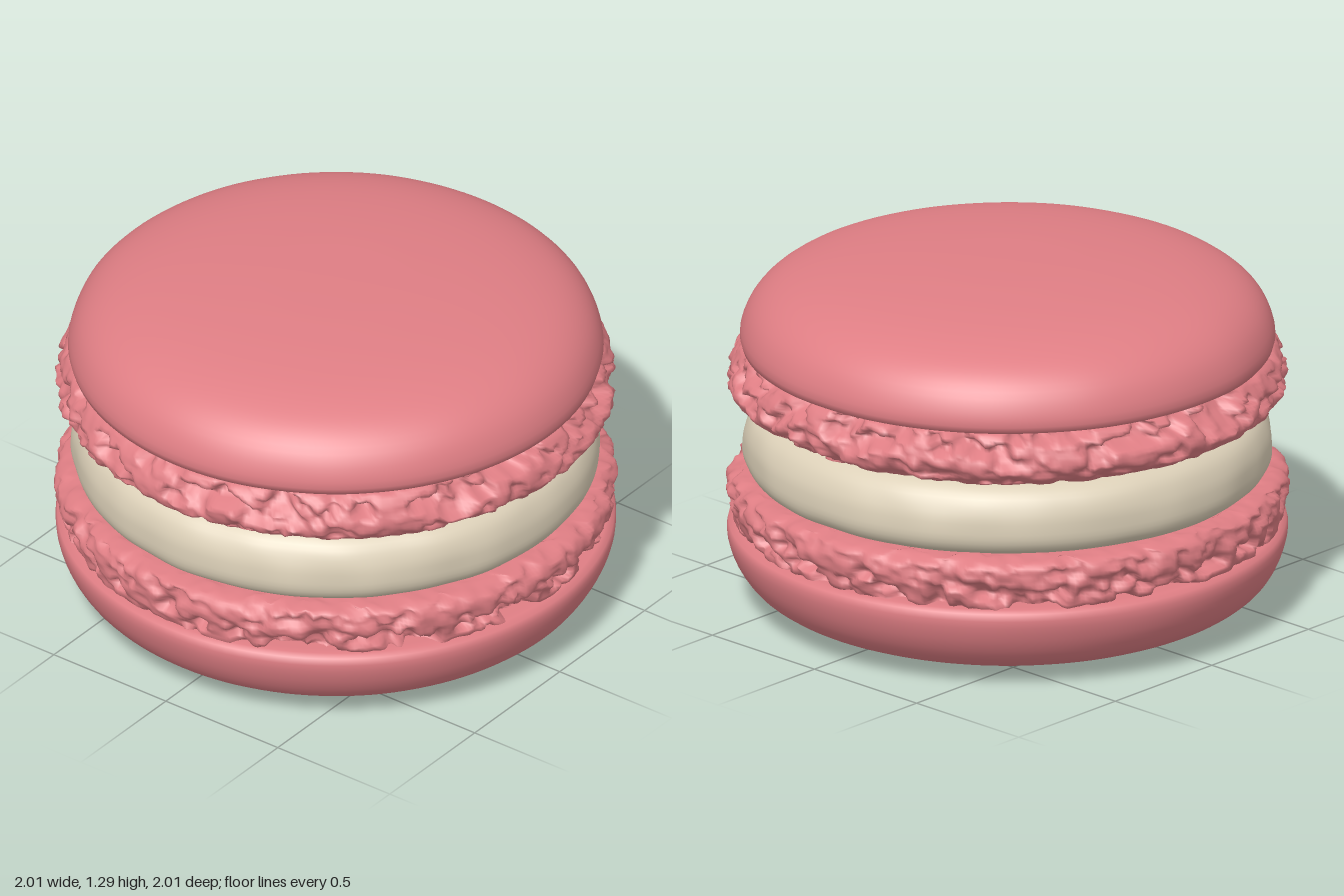
import * as THREE from 'three';
import { mergeVertices } from 'three/addons/utils/BufferGeometryUtils.js';

// seeded value noise in 3D, 0..1
function hash(x, y, z) {
  let h = Math.imul(x, 374761393) ^ Math.imul(y, 668265263) ^ Math.imul(z, 1440662683);
  h = Math.imul(h ^ (h >>> 13), 1274126177);
  return ((h ^ (h >>> 16)) >>> 0) / 4294967295;
}
function noise(x, y, z) {
  const X = Math.floor(x), Y = Math.floor(y), Z = Math.floor(z);
  const s = (t) => t * t * (3 - 2 * t);
  const u = s(x - X), v = s(y - Y), w = s(z - Z);
  const L = THREE.MathUtils.lerp;
  const row = (j, k) => L(hash(X, Y + j, Z + k), hash(X + 1, Y + j, Z + k), u);
  return L(L(row(0, 0), row(1, 0), v), L(row(0, 1), row(1, 1), v), w);
}

// revolve a smooth bottom-to-top profile, then move its vertices by a rule
function turned(name, material, profile, steps, segments, rule) {
  const curve = new THREE.SplineCurve(profile.map(([r, y]) => new THREE.Vector2(r, y)));
  const points = curve.getSpacedPoints(steps);
  points.forEach((p) => { p.x = Math.max(0, p.x); });
  let geometry = new THREE.LatheGeometry(points, segments);
  geometry.deleteAttribute('uv');
  geometry.deleteAttribute('normal');
  geometry = mergeVertices(geometry, 1e-5);
  const pos = geometry.attributes.position;
  for (let i = 0; i < pos.count; i++) {
    const x = pos.getX(i), y = pos.getY(i), z = pos.getZ(i);
    const r = Math.hypot(x, z);
    if (r < 0.01) continue;
    const [dr, dy] = rule(x, y, z, r);
    pos.setXYZ(i, x * (1 + dr / r), y + dy, z * (1 + dr / r));
  }
  geometry.computeVertexNormals();
  const mesh = new THREE.Mesh(geometry, material);
  mesh.name = name;
  return mesh;
}

export function createModel() {
  const pink = new THREE.MeshStandardMaterial({ color: 0xdf7e84 });
  pink.name = 'pink biscuit';
  const cream = new THREE.MeshStandardMaterial({ color: 0xdcd0b8 });
  cream.name = 'cream filling';

  // gentle unevenness of the smooth parts
  const soft = (amount, f) => (x, y, z) => [(noise(x * f + 9, y * f, z * f) - 0.5) * amount, 0];
  // pitted, bubbly rim; pits deepen towards the shell at height yShell
  const ruffled = (yShell) => (x, y, z, r) => {
    const edge = THREE.MathUtils.smoothstep(r, 0.78, 0.92);
    const n = noise(x * 15 + 40, y * 24, z * 15 + 40);
    const m = noise(x * 30, y * 44 + 7, z * 30);
    const near = 1 - THREE.MathUtils.smoothstep(Math.abs(y - yShell), 0.03, 0.13);
    const pit = THREE.MathUtils.smoothstep(n * 0.75 + m * 0.25, 0.42, 0.72);
    return [edge * (0.008 - pit * (0.025 + 0.045 * near) - (m - 0.5) * 0.016),
      edge * (m - 0.5) * 0.008];
  };

  const group = new THREE.Group();
  group.name = 'macaron';
  group.add(
    turned('bottomShell', pink, [
      [0, 0.004], [0.3, 0.005], [0.55, 0.01], [0.72, 0.025], [0.84, 0.06], [0.92, 0.11],
      [0.97, 0.18], [0.995, 0.25], [0.998, 0.295], [0.985, 0.316], [0.94, 0.32], [0.86, 0.32],
    ], 48, 128, soft(0.004, 5)),
    turned('bottomFoot', pink, [
      [0.9, 0.3], [0.955, 0.315], [0.97, 0.35], [0.985, 0.4], [0.992, 0.45], [0.98, 0.485],
      [0.94, 0.503], [0.86, 0.505], [0.76, 0.5],
    ], 40, 420, ruffled(0.32)),
    turned('filling', cream, [
      [0.74, 0.495], [0.86, 0.497], [0.915, 0.52], [0.938, 0.56], [0.94, 0.61], [0.932, 0.66],
      [0.905, 0.715], [0.86, 0.75], [0.8, 0.766], [0.72, 0.772],
    ], 32, 160, soft(0.014, 7)),
    turned('topFoot', pink, [
      [0.72, 0.765], [0.82, 0.764], [0.89, 0.772], [0.95, 0.8], [0.985, 0.84], [0.99, 0.875],
      [0.975, 0.915], [0.955, 0.95], [0.93, 0.975], [0.88, 0.985],
    ], 40, 420, ruffled(0.965)),
    turned('topShell', pink, [
      [0.82, 0.975], [0.9, 0.974], [0.942, 0.978], [0.953, 1.0], [0.946, 1.05], [0.915, 1.115],
      [0.86, 1.17], [0.78, 1.212], [0.66, 1.246], [0.5, 1.27], [0.3, 1.286], [0.14, 1.291], [0, 1.292],
    ], 48, 128, soft(0.004, 5)),
  );
  return group;
}
